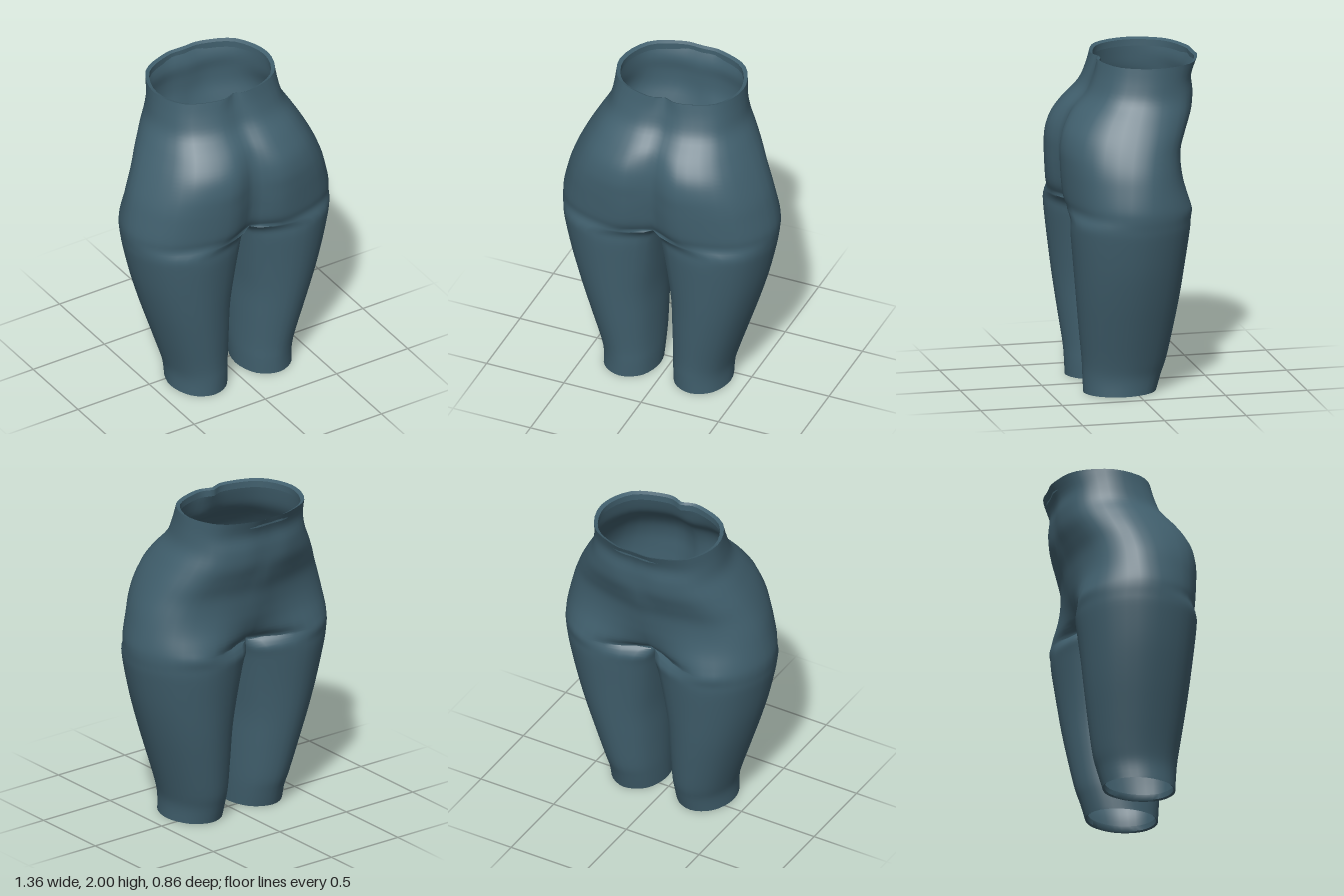
import * as THREE from 'three';
import { mergeVertices, toCreasedNormals } from 'three/addons/utils/BufferGeometryUtils.js';

const STEP = 4; // ring samples per control segment

// Leg levels: y, inner x, outer x, front z, back z, inner squareness
const LEG = [
  [0, .055, .40, .30, -.14, .72],
  [.1, .05, .402, .305, -.17, .72],
  [.2, .047, .427, .312, -.20, .72],
  [.4, .045, .492, .337, -.235, .74],
  [.6, .042, .557, .36, -.265, .76],
  [.8, .025, .615, .38, -.29, .8],
  [1.0, .01, .66, .398, -.315, .86],
  [1.08, .005, .672, .398, -.32, .91],
];
// Hip levels: y, front centre z, front x, front z, side x, side z, back x, back z, back centre z
const HIP = [
  [1.14, .32, .25, .40, .678, .05, .35, -.32, -.17],
  [1.2, .345, .22, .415, .675, .05, .34, -.31, -.24],
  [1.3, .36, .21, .425, .655, .04, .32, -.285, -.285],
  [1.4, .37, .21, .43, .628, .03, .30, -.275, -.31],
  [1.5, .37, .20, .43, .588, .01, .27, -.285, -.33],
  [1.6, .355, .19, .405, .54, -.02, .23, -.325, -.36],
  [1.7, .315, .17, .34, .485, -.05, .18, -.37, -.38],
  [1.8, .23, .16, .245, .43, -.08, .17, -.38, -.385],
  [1.9, .19, .15, .20, .41, -.10, .16, -.375, -.385],
  [2.0, .155, .11, .18, .40, -.11, .13, -.42, -.425],
];

// Common level: y, then x,z of front inner, front, side, back, back inner, inner thigh
const levels = [
  ...LEG.map(([y, xi, xo, zf, zb, k]) => {
    const cx = (xi + xo) / 2, r = cx - xi, cz = (zf + zb) / 2, h = .72 * (zf - cz);
    return [y, cx - k * r, cz + h, cx, zf, xo, cz, cx, zb, cx - k * r, cz - h, xi, cz];
  }),
  ...HIP.map(([y, zfc, xf, zf, xo, zs, xb, zb, zbc]) =>
    [y, 0, zfc, xf, zf, xo, zs, xb, zb, 0, zbc, 0, (zfc + zbc) / 2]),
];

// Smooth interpolation between levels
function levelAt(t) {
  const i = Math.min(Math.floor(t), levels.length - 2), f = t - i;
  const at = (j) => levels[Math.max(0, Math.min(levels.length - 1, j))];
  const [a, b, c, d] = [at(i - 1), at(i), at(i + 1), at(i + 2)];
  return b.map((v, n) => v + .5 * f * (c[n] - a[n] + f * (2 * a[n] - 5 * v + 4 * c[n] - d[n]
    + f * (3 * (v - c[n]) + d[n] - a[n]))));
}

// Cross-section of one side: closed for a leg, open at the centre line for the hips
function ringAt(t, closed) {
  const [y, x0, z0, xf, zf, xo, zs, xb, zb, x4, z4, xi, zi] = levelAt(t);
  const P = (x, z) => new THREE.Vector3(Math.max(0, x), y, z);
  const crotch = t >= LEG.length;
  const pts = [P(crotch ? 0 : x0, z0), P(xf, zf), P(xf + .71 * (xo - xf), zs + .71 * (zf - zs)), P(xo, zs),
    P(xb + .7 * (xo - xb), zs + .7 * (zb - zs)), P(xb, zb), P(crotch ? 0 : x4, z4)];
  if (closed && !crotch) {
    pts.push(P(xi, zi));
    return new THREE.CatmullRomCurve3(pts, true, 'catmullrom', .5).getPoints(8 * STEP);
  }
  const ring = new THREE.CatmullRomCurve3(pts, false, 'catmullrom', .5).getPoints(6 * STEP);
  ring.forEach((p) => { p.x = Math.max(0, p.x); });
  if (closed) { // straight crotch seam where both legs meet
    for (let i = 1; i <= 2 * STEP; i++) ring.push(pts[6].clone().lerp(pts[0], i / (2 * STEP)));
  }
  return ring;
}

// Ring drawn in towards a centre, for turned-in hems
const inset = (ring, cx, cz, s, y) => ring.map((p) =>
  new THREE.Vector3(cx + (p.x - cx) * s, y, cz + (p.z - cz) * s));

// Skin a stack of rings on one side and its mirror image
function loft(rings, pos) {
  for (const s of [1, -1]) {
    const tri = (...v) => (s > 0 ? v : v.reverse()).forEach((p) => pos.push(s * p.x, p.y, p.z));
    for (let r = 0; r < rings.length - 1; r++) {
      for (let i = 0; i < rings[r].length - 1; i++) {
        const a = rings[r][i], b = rings[r][i + 1], c = rings[r + 1][i], d = rings[r + 1][i + 1];
        tri(a, b, c);
        tri(b, d, c);
      }
    }
  }
}

export function createModel() {
  const group = new THREE.Group();
  group.name = 'leggings';
  const fabric = new THREE.MeshStandardMaterial({ color: 0x41606e, side: THREE.DoubleSide });
  fabric.name = 'slate blue fabric';

  const addMesh = (name, pos, crease) => {
    const geo = new THREE.BufferGeometry();
    geo.setAttribute('position', new THREE.Float32BufferAttribute(pos, 3));
    const mesh = new THREE.Mesh(toCreasedNormals(mergeVertices(geo, 1e-4), crease), fabric);
    mesh.name = name;
    group.add(mesh);
  };

  // Legs and hips as one continuous skin
  const legRings = [], hipRings = [], seam = LEG.length, top = levels.length - 1;
  for (let t = 0; t <= seam; t += .25) legRings.push(ringAt(t, true));
  for (let t = seam; t <= top; t += .25) hipRings.push(ringAt(t, false));
  const skin = [];
  loft(legRings, skin);
  loft(hipRings, skin);
  addMesh('legsAndHips', skin, 1);

  // Turned-in hems at the waist and the leg openings
  const waist = hipRings[hipRings.length - 1], cuff = legRings[0];
  const waistHem = [], legHems = [];
  loft([waist, inset(waist, 0, -.12, .94, 1.99), inset(waist, 0, -.12, .94, 1.95)], waistHem);
  loft([inset(cuff, .228, .08, .94, .04), inset(cuff, .228, .08, .95, .008), cuff], legHems);
  addMesh('waistHem', waistHem, .8);
  addMesh('legHems', legHems, .8);
  return group;
}
